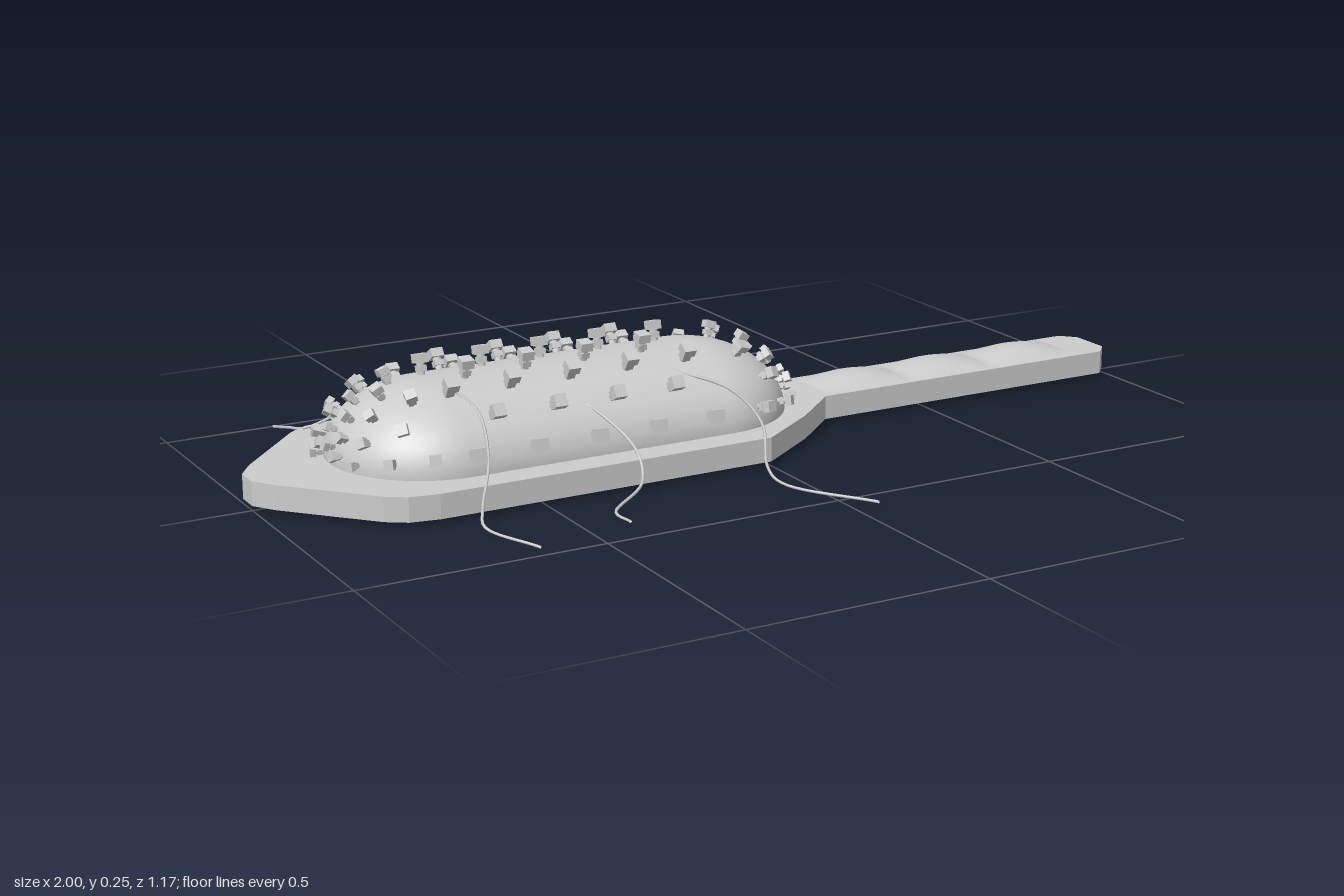
import * as THREE from 'three';
import { mergeGeometries } from 'three/addons/utils/BufferGeometryUtils.js';

const MID_Z = -0.025, TOP = 0.06;       // brush centre line and top face of the board
const DOME = { x: -0.335, half: 0.285, rim: 0.21, rise: 0.145 };
const mat = new THREE.MeshStandardMaterial({ color: 0xcccccc, side: THREE.DoubleSide });

function add(group, name, geometry) {
  const mesh = new THREE.Mesh(geometry, mat);
  mesh.name = name;
  group.add(mesh);
  return mesh;
}

// Flat board: pointed head and straight handle, mirrored about its centre line
function boardGeometry() {
  const side = [[-1, 0.025], [-0.97, 0.07], [-0.82, 0.235], [-0.78, 0.262], [-0.72, 0.273],
    [0, 0.273], [0.14, 0.175], [0.25, 0.077], [0.97, 0.077], [1, 0.045]];
  const outline = [...side, ...side.map(([x, z]) => [x, -z]).reverse()];
  const shape = new THREE.Shape(outline.map(([x, z]) => new THREE.Vector2(x, z)));
  const g = new THREE.ExtrudeGeometry(shape, { depth: 0.05, bevelEnabled: false });
  return g.rotateX(-Math.PI / 2).translate(0, 0.01, MID_Z);
}

// Half capsule lying along x, flattened in height
function domeGeometry() {
  const pts = [];
  for (const s of [-1, 1]) {
    for (let i = 0; i <= 14; i++) {
      const a = (s < 0 ? i - 14 : i) / 14 * Math.PI / 2;
      pts.push(new THREE.Vector2(Math.max(0, Math.cos(a) * DOME.rim), s * DOME.half + Math.sin(a) * DOME.rim));
    }
  }
  const g = new THREE.LatheGeometry(pts, 40, 0, Math.PI);
  return g.rotateZ(Math.PI / 2).scale(1, DOME.rise / DOME.rim, 1).translate(DOME.x, TOP, MID_Z);
}

// Three soft swells along the handle
function gripGeometry() {
  const g = new THREE.PlaneGeometry(0.64, 0.15, 48, 10).rotateX(-Math.PI / 2);
  const p = g.attributes.position;
  for (let i = 0; i < p.count; i++) {
    const wave = Math.abs(Math.sin((p.getX(i) / 0.64 + 0.5) * 3 * Math.PI));
    const across = 1 - (p.getZ(i) / 0.075) ** 2;
    p.setY(i, (0.004 + 0.019 * wave) * across);
  }
  g.computeVertexNormals();
  return g.translate(0.58, TOP, MID_Z);
}

// One bristle: slim stem with a block tip, growing along +y
function bristleGeometry() {
  const stem = new THREE.CylinderGeometry(0.009, 0.007, 0.04, 8).translate(0, 0.006, 0);
  const collar = new THREE.BoxGeometry(0.018, 0.012, 0.018).translate(0, 0.014, 0);
  const tip = new THREE.BoxGeometry(0.026, 0.018, 0.026).translate(0, 0.034, 0);
  return mergeGeometries([stem, collar, tip]);
}

// Places a bristle on the dome: end = -1, 0, 1; phi turns over the end; a leans sideways
function placeBristle(base, x, phi, a, size) {
  const r = Math.cos(phi) / Math.hypot(Math.cos(a) / DOME.rise, Math.sin(a) / DOME.rim);
  const dir = new THREE.Vector3(Math.sin(phi), Math.cos(phi) * Math.cos(a), Math.cos(phi) * Math.sin(a));
  const q = new THREE.Quaternion().setFromAxisAngle(new THREE.Vector3(1, 0, 0), a)
    .multiply(new THREE.Quaternion().setFromAxisAngle(new THREE.Vector3(0, 0, 1), -phi));
  const pos = new THREE.Vector3(x + DOME.rim * Math.sin(phi), TOP + r * Math.cos(a), MID_Z + r * Math.sin(a));
  pos.addScaledVector(dir, -0.002);
  return base.clone().applyMatrix4(new THREE.Matrix4().compose(pos, q, new THREE.Vector3(size, size, size)));
}

function bristleField() {
  const base = bristleGeometry(), parts = [];
  const rows = [78, 58, 35, 12, -12, -35, -58, -78].map(THREE.MathUtils.degToRad);
  rows.forEach((a, j) => {
    const odd = j % 2;
    // staggered rows along the straight part
    for (let i = 0; i < 5 - odd; i++) parts.push(placeBristle(base, -0.62 + odd * 0.065 + i * 0.13, 0, a, 1));
    // smaller bristles fanning over both ends
    for (const s of [-1, 1]) {
      for (let k = 0; k < 3; k++) {
        const phi = THREE.MathUtils.degToRad(20 + odd * 11 + k * 22);
        parts.push(placeBristle(base, DOME.x + s * DOME.half, s * phi, a, 0.85 - 0.1 * k));
      }
    }
  });
  return mergeGeometries(parts);
}

// Loose hairs caught on the brush, from free end to root
const HAIRS = [
  [[-0.62, 0.004, 0.465], [-0.68, 0.02, 0.355], [-0.665, 0.04, 0.315], [-0.6, 0.1, 0.205], [-0.58, 0.165, 0.12], [-0.6, 0.195, 0.06]],
  [[-0.415, 0.008, 0.43], [-0.42, 0.012, 0.38], [-0.32, 0.035, 0.3], [-0.305, 0.085, 0.24], [-0.375, 0.17, 0.1], [-0.42, 0.185, 0.06]],
  [[0.04, 0.015, 0.58], [-0.065, 0.018, 0.405], [-0.055, 0.03, 0.325], [-0.015, 0.09, 0.235], [-0.045, 0.145, 0.165], [-0.155, 0.185, 0.075]],
  [[-0.795, 0.025, -0.425], [-0.8, 0.05, -0.325], [-0.785, 0.065, -0.26], [-0.69, 0.13, -0.18], [-0.65, 0.185, -0.1]],
  [[-0.445, 0.025, -0.48], [-0.455, 0.025, -0.415], [-0.44, 0.04, -0.38], [-0.345, 0.055, -0.36], [-0.295, 0.065, -0.3],
    [-0.3, 0.1, -0.245], [-0.395, 0.175, -0.155], [-0.375, 0.2, -0.085]],
  [[-0.23, 0.01, -0.585], [-0.195, 0.012, -0.535], [-0.135, 0.025, -0.52], [-0.08, 0.03, -0.53], [0, 0.04, -0.5],
    [0.02, 0.045, -0.435], [-0.085, 0.055, -0.34], [-0.11, 0.085, -0.28], [-0.09, 0.165, -0.17], [-0.06, 0.19, -0.1]],
];

export function createModel() {
  const model = new THREE.Group();
  model.name = 'hairbrush';
  add(model, 'board', boardGeometry());
  add(model, 'cushionDome', domeGeometry());
  add(model, 'handleGrip', gripGeometry());
  add(model, 'bristles', bristleField());

  const hairs = new THREE.Group();
  hairs.name = 'looseHairs';
  HAIRS.forEach((pts) => {
    const curve = new THREE.CatmullRomCurve3(pts.map((p) => new THREE.Vector3(...p)), false, 'centripetal');
    add(hairs, 'hair', new THREE.TubeGeometry(curve, 40, 0.003, 6));
  });
  model.add(hairs);
  return model;
}
